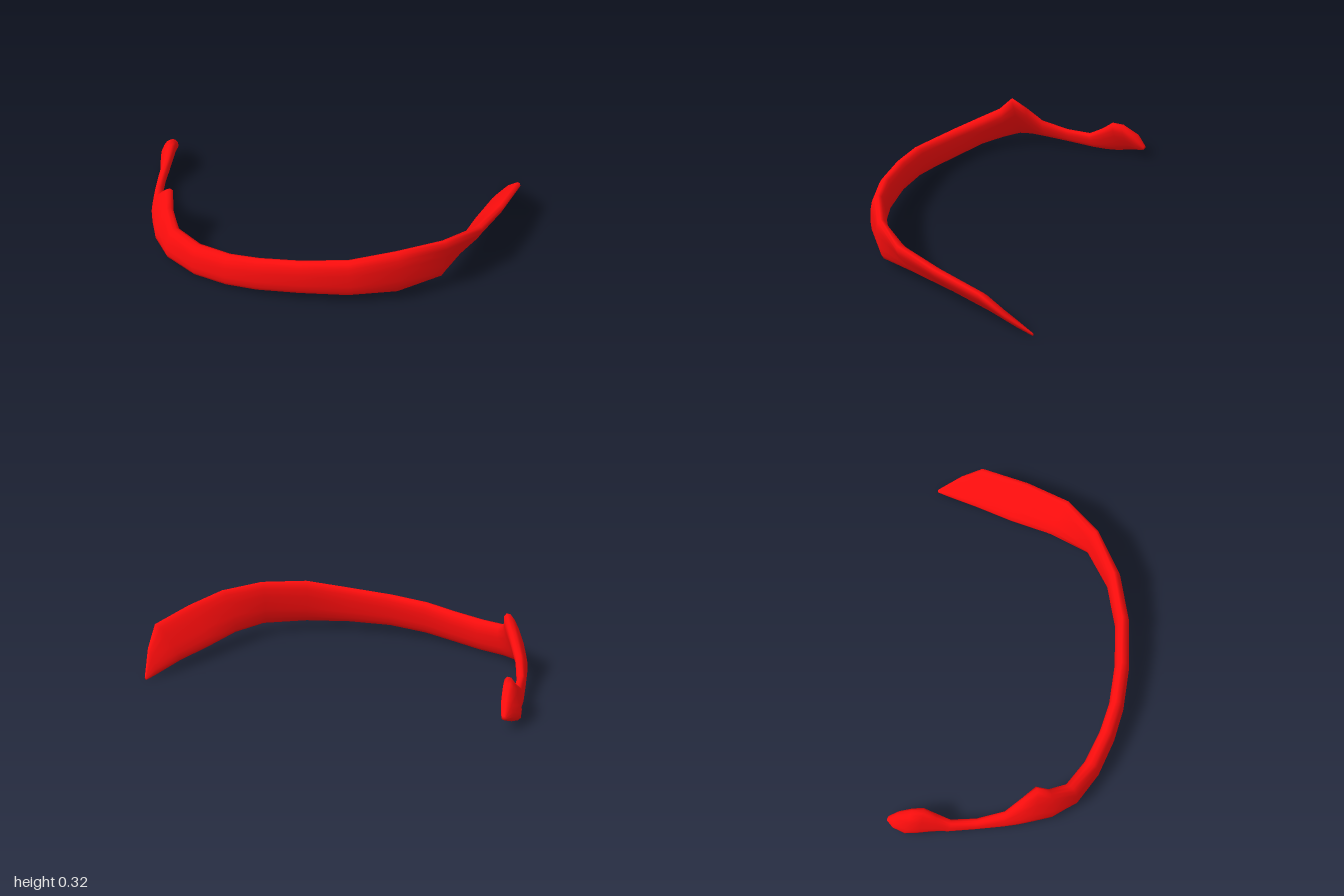
import * as THREE from 'three';

// Each station: top edge x,y,z, bottom edge x,y,z, thickness
const shaft = [
  [0.945, 0.02, -0.495, 0.938, 0.003, -0.498, 0.01],
  [0.982, 0.125, -0.365, 0.91, 0.013, -0.44, 0.03],
  [0.99, 0.215, -0.25, 0.845, 0.04, -0.28, 0.05],
  [0.905, 0.245, 0.0, 0.765, 0.055, -0.08, 0.055],
  [0.8, 0.27, 0.22, 0.695, 0.068, 0.14, 0.06],
  [0.625, 0.287, 0.375, 0.61, 0.055, 0.355, 0.065],
  [0.4, 0.282, 0.48, 0.405, 0.046, 0.49, 0.075],
  [0.17, 0.247, 0.535, 0.17, 0.045, 0.545, 0.075],
  [-0.07, 0.226, 0.542, -0.07, 0.044, 0.556, 0.075],
  [-0.275, 0.207, 0.522, -0.28, 0.028, 0.538, 0.075],
  [-0.43, 0.185, 0.48, -0.44, 0.012, 0.498, 0.08],
  [-0.6, 0.177, 0.41, -0.61, 0.004, 0.43, 0.085],
  [-0.73, 0.195, 0.315, -0.765, 0.02, 0.335, 0.08]
];
// Bump where the shaft turns into the neck
const tubercle = [
  [-0.775, 0.245, 0.215, -0.85, 0.042, 0.225, 0.07],
  [-0.785, 0.318, 0.15, -0.885, 0.065, 0.13, 0.07],
  [-0.83, 0.245, 0.08, -0.905, 0.062, 0.06, 0.06]
];
const neck = [
  [-0.88, 0.155, 0.0, -0.918, 0.05, -0.02, 0.05],
  [-0.918, 0.105, -0.14, -0.932, 0.03, -0.16, 0.045],
  [-0.928, 0.095, -0.27, -0.948, 0.01, -0.29, 0.045]
];
const head = [
  [-0.91, 0.145, -0.345, -0.955, 0.005, -0.37, 0.05],
  [-0.9, 0.195, -0.405, -0.965, 0.006, -0.44, 0.065],
  [-0.905, 0.185, -0.465, -0.975, 0.02, -0.505, 0.07],
  [-0.91, 0.135, -0.54, -0.955, 0.035, -0.56, 0.06],
  [-0.92, 0.07, -0.592, -0.925, 0.05, -0.592, 0.025]
];

// Loft of rounded, slightly boxy sections, closed with a fan at both ends
function loft(stations, sides = 14) {
  const top = stations.map(s => new THREE.Vector3(s[0], s[1], s[2]));
  const bottom = stations.map(s => new THREE.Vector3(s[3], s[4], s[5]));
  const mid = top.map((t, i) => t.clone().add(bottom[i]).multiplyScalar(0.5));
  const n = stations.length;
  const pos = [], idx = [];
  const soft = v => Math.sign(v) * Math.abs(v) ** 0.8;

  for (let i = 0; i < n; i++) {
    const along = mid[Math.min(i + 1, n - 1)].clone().sub(mid[Math.max(i - 1, 0)]);
    const up = top[i].clone().sub(bottom[i]).multiplyScalar(0.5);
    const across = up.clone().cross(along).normalize().multiplyScalar(stations[i][6] / 2);
    for (let j = 0; j < sides; j++) {
      const a = (j / sides) * Math.PI * 2;
      const p = mid[i].clone()
        .addScaledVector(up, soft(Math.cos(a)))
        .addScaledVector(across, soft(Math.sin(a)));
      pos.push(p.x, p.y, p.z);
    }
  }
  for (let i = 0; i < n - 1; i++) {
    for (let j = 0; j < sides; j++) {
      const a = i * sides + j, b = i * sides + (j + 1) % sides;
      idx.push(a, a + sides, b, b, a + sides, b + sides);
    }
  }
  const first = n * sides, last = first + 1, end = (n - 1) * sides;
  for (const c of [mid[0], mid[n - 1]]) pos.push(c.x, c.y, c.z);
  for (let j = 0; j < sides; j++) {
    const k = (j + 1) % sides;
    idx.push(first, j, k, last, end + k, end + j);
  }
  const geo = new THREE.BufferGeometry();
  geo.setAttribute('position', new THREE.Float32BufferAttribute(pos, 3));
  geo.setIndex(idx);
  geo.computeVertexNormals();
  return geo;
}

export function createModel() {
  const group = new THREE.Group();
  group.name = 'rib';
  const material = new THREE.MeshStandardMaterial({ color: 0xff0d0d });
  // One continuous bone: shaft, tubercle, neck and head
  const bone = new THREE.Mesh(loft([...shaft, ...tubercle, ...neck, ...head]), material);
  bone.name = 'ribBone';
  group.add(bone);
  return group;
}
